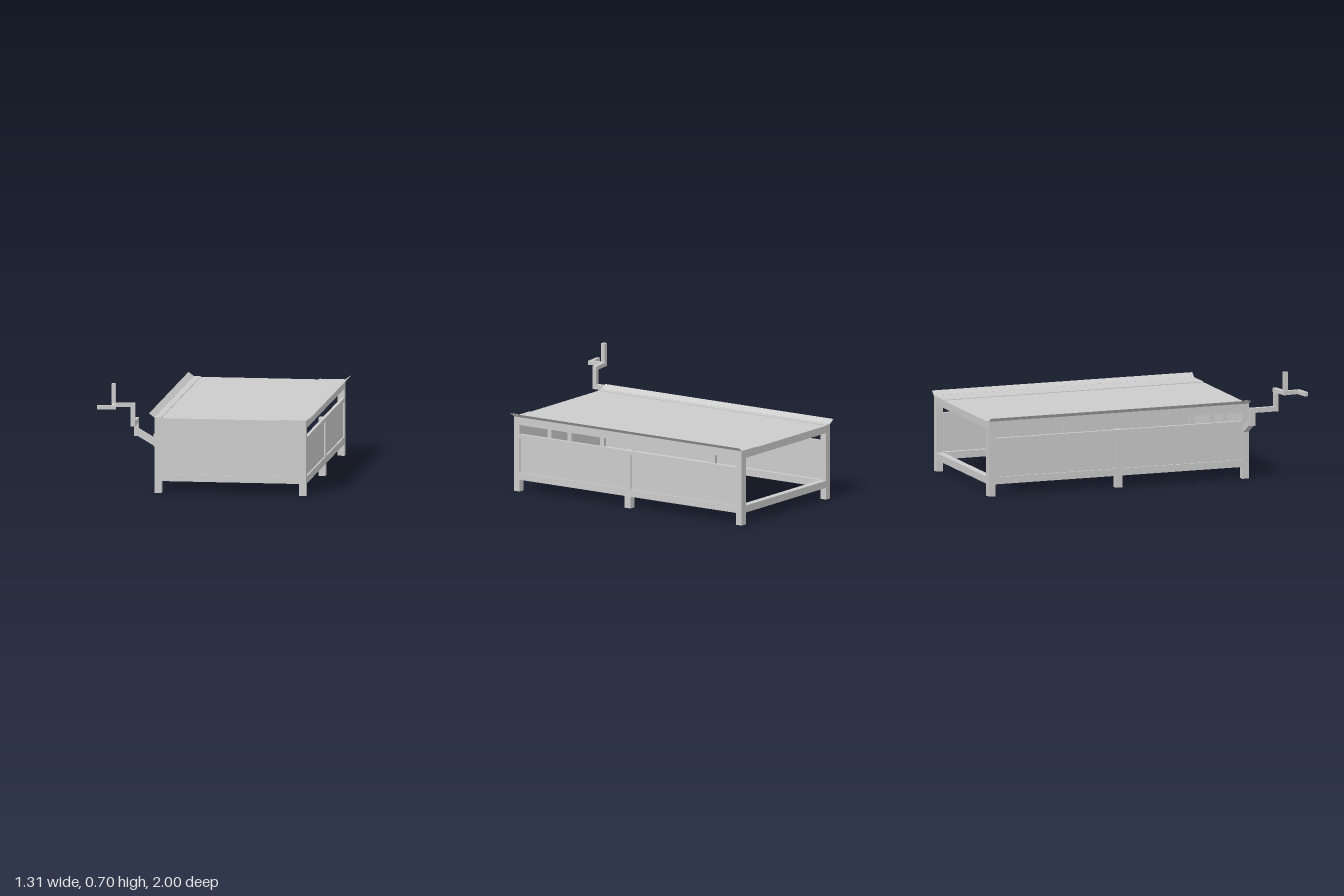
import * as THREE from 'three';

const mat = new THREE.MeshStandardMaterial({ color: 0xcccccc, flatShading: true });

// Outer limits of the frame
const X0 = -0.33, X1 = 0.622, Z0 = -1, Z1 = 0.731, T = 0.044;
const TOP = 0.47, PANEL_TOP = 0.365, RAIL0 = 0.075, RAIL1 = 0.12, HIGH0 = 0.423;

export function createModel() {
  const model = new THREE.Group();

  // Box given by its limits on each axis
  const block = (name, x0, x1, y0, y1, z0, z1) => {
    const mesh = new THREE.Mesh(new THREE.BoxGeometry(Math.abs(x1 - x0), y1 - y0, z1 - z0), mat);
    mesh.position.set((x0 + x1) / 2, (y0 + y1) / 2, (z0 + z1) / 2);
    mesh.name = name;
    model.add(mesh);
  };

  // Bar between two points, lengthened at each end to close the corners
  const bar = (name, a, b, w, h, extA = 0, extB = 0) => {
    const start = new THREE.Vector3(...a), end = new THREE.Vector3(...b);
    const dir = end.clone().sub(start).normalize();
    start.addScaledVector(dir, -extA);
    end.addScaledVector(dir, extB);
    const mesh = new THREE.Mesh(new THREE.BoxGeometry(w, h, start.distanceTo(end)), mat);
    mesh.position.copy(start).add(end).multiplyScalar(0.5);
    mesh.lookAt(end);
    mesh.name = name;
    model.add(mesh);
  };

  // Long sides: legs, rails, recessed panels and raised lip
  const midZ0 = -0.155, midZ1 = -0.111, recess = 0.01;
  for (const side of [-1, 1]) {
    const outer = side < 0 ? X0 : X1, inner = outer - side * T;
    block('frontLeg', inner, outer, 0, TOP, Z1 - T, Z1);
    block('backLeg', inner, outer, 0, TOP, Z0, Z0 + T);
    block('middleLeg', inner, outer, 0, PANEL_TOP, midZ0, midZ1);
    block('sideBottomRail', inner, outer, RAIL0, RAIL1, Z0 + T, Z1 - T);
    for (const [za, zb] of [[Z0 + T, midZ0], [midZ1, Z1 - T]]) {
      block('panelTopRail', outer - side * 0.02, outer, 0.34, PANEL_TOP, za, zb);
      block('sidePanel', outer - side * 0.02, outer - side * recess, RAIL1, 0.34, za, zb);
    }
    const lip = new THREE.Mesh(new THREE.BoxGeometry(0.043, 0.002, Z1 - Z0), mat);
    lip.position.set(outer + side * 0.0165, 0.486, (Z0 + Z1) / 2);
    lip.rotation.z = side * Math.atan2(0.025, 0.035);
    lip.name = 'edgeLip';
    model.add(lip);
  }

  // Solid top with a slightly raised strip along each long edge
  block('tableTop', X0, X1, HIGH0, TOP, Z0, Z1);
  block('topEdgeStrip', X0, X0 + T, TOP, TOP + 0.004, Z0, Z1);
  block('topEdgeStrip', 0.457, X1, TOP, TOP + 0.004, Z0, Z1);

  // Cross rails at the ends and the middle
  for (const z of [Z0, midZ0, Z1 - T]) block('bottomCrossRail', X0 + T, X1 - T, RAIL0, RAIL1, z, z + T);

  // Front end: two uprights and shallow panels
  for (const [a, b] of [[0.018, 0.062], [0.232, 0.278]]) block('frontUpright', a, b, RAIL1, HIGH0, Z1 - T, Z1);
  for (const [a, b] of [[X0 + T, 0.018], [0.062, 0.232], [0.278, X1 - T]]) {
    block('frontPanel', a, b, RAIL1, HIGH0, Z1 - 0.014, Z1 - 0.007);
  }

  // Crank arm at the front corner
  block('armMount', -0.337, X0, 0.29, 0.365, 0.69, 0.725);
  bar('armBrace', [-0.33, 0.316, 0.7075], [-0.445, 0.383, 0.7075], 0.035, 0.04, 0.01);
  block('armLowerUpright', -0.46, -0.432, 0.355, 0.467, 0.69, 0.725);
  block('armForwardBar', -0.46, -0.432, 0.437, 0.467, 0.725, 0.877);
  block('armUpperUpright', -0.46, -0.432, 0.467, 0.582, 0.85, 0.877);
  const y = 0.57;
  bar('armOutwardBar', [-0.445, y, 0.863], [-0.56, y, 0.88], 0.026, 0.025, 0.013, 0.013);
  bar('armForwardLink', [-0.562, y, 0.88], [-0.55, y, 0.975], 0.025, 0.025, 0.01, 0.01);
  bar('armHandle', [-0.55, y, 0.974], [-0.654, y, 0.988], 0.024, 0.025, 0.01);
  block('armPost', -0.577, -0.55, 0.575, 0.704, 0.868, 0.895);

  return model;
}
